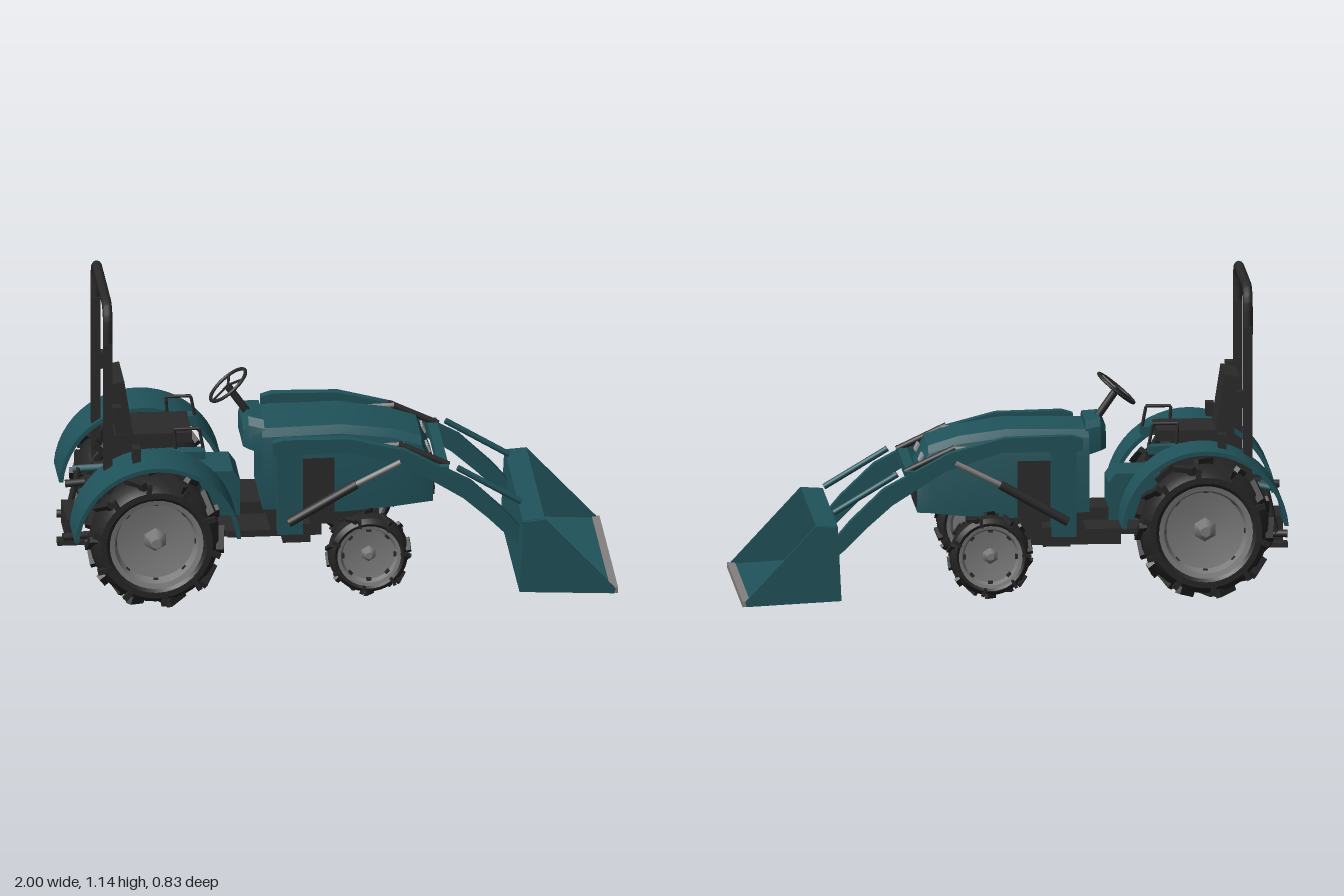
import * as THREE from 'three';
import { toCreasedNormals } from 'three/addons/utils/BufferGeometryUtils.js';

export function createModel() {
  const root = new THREE.Group();
  root.name = 'tractor';
  const material = (name, color) => {
    const m = new THREE.MeshStandardMaterial({ color });
    m.name = name;
    return m;
  };
  const teal = material('tealPaint', 0x20535b);
  const black = material('blackPlastic', 0x2a2a2a);
  const rubber = material('tyreRubber', 0x252525);
  const grey = material('rimGrey', 0x7c7c7c);
  const steel = material('steel', 0x858080);
  const lamp = material('lampGlass', 0x9c9c9c);

  const V = (x, y, z) => new THREE.Vector3(x, y, z);
  const add = (name, geo, mat, parent = root) => {
    const m = new THREE.Mesh(geo, mat);
    m.name = name;
    parent.add(m);
    return m;
  };
  // Box given by its limits
  const box = (name, mat, x0, x1, y0, y1, z0, z1) => {
    const m = add(name, new THREE.BoxGeometry(x1 - x0, y1 - y0, Math.abs(z1 - z0)), mat);
    m.position.set((x0 + x1) / 2, (y0 + y1) / 2, (z0 + z1) / 2);
    return m;
  };
  // Round rod between two points
  const rod = (name, mat, a, b, r, sides = 10) => {
    const d = b.clone().sub(a);
    const m = add(name, new THREE.CylinderGeometry(r, r, d.length(), sides), mat);
    m.position.copy(a).addScaledVector(d, 0.5);
    m.quaternion.setFromUnitVectors(V(0, 1, 0), d.normalize());
  };
  // Side outline extruded between two z positions
  const plate = (name, mat, pts, z0, z1) => {
    const shape = new THREE.Shape(pts.map(p => new THREE.Vector2(...p)));
    const geo = new THREE.ExtrudeGeometry(shape, { depth: Math.abs(z1 - z0), bevelEnabled: false });
    geo.translate(0, 0, Math.min(z0, z1));
    add(name, toCreasedNormals(geo, 0.4), mat);
  };
  // Bent tube through straight pieces
  const tube = (name, mat, pts, r, n = 40) => {
    const path = new THREE.CurvePath();
    for (let i = 1; i < pts.length; i++) path.add(new THREE.LineCurve3(pts[i - 1], pts[i]));
    add(name, new THREE.TubeGeometry(path, n, r, 10), mat);
  };
  // Skin over closed rings, with both ends capped
  const loft = (rings) => {
    const pos = [];
    const tri = (...p) => p.forEach(v => pos.push(v.x, v.y, v.z));
    const n = rings[0].length;
    for (let i = 0; i + 1 < rings.length; i++)
      for (let j = 0; j < n; j++) {
        const k = (j + 1) % n, a = rings[i], b = rings[i + 1];
        tri(a[j], b[j], b[k]);
        tri(a[j], b[k], a[k]);
      }
    const first = rings[0], last = rings[rings.length - 1];
    for (let j = 1; j + 1 < n; j++) {
      tri(first[0], first[j], first[j + 1]);
      tri(last[0], last[j + 1], last[j]);
    }
    const g = new THREE.BufferGeometry();
    g.setAttribute('position', new THREE.Float32BufferAttribute(pos, 3));
    return toCreasedNormals(g, 0.4);
  };
  const lathe = (pts, sides) => {
    const g = new THREE.LatheGeometry(pts.map(p => new THREE.Vector2(...p)), sides);
    return toCreasedNormals(g.rotateX(Math.PI / 2), 0.5);
  };

  // Wheels: tyre, dished rim, notches, hub and angled lugs
  const wheel = (name, x, y, z, R, rim, w, lugs, notch, side) => {
    const g = new THREE.Group();
    g.name = name;
    g.position.set(x, y, z);
    if (side < 0) g.rotation.y = Math.PI;
    root.add(g);
    const h = w / 2;
    add('tyre', lathe([[rim, -h * 0.85], [rim * 1.1, -h], [R * 0.86, -h], [R * 0.96, -h * 0.65], [R, 0],
      [R * 0.96, h * 0.65], [R * 0.86, h], [rim * 1.1, h], [rim, h * 0.85], [rim, -h * 0.85]], 40), rubber, g);
    add('rim', lathe([[0, -h * 0.3], [rim * 0.8, -h * 0.3], [rim * 0.9, -h * 0.8], [rim * 1.03, -h * 0.9],
      [rim * 1.03, h * 0.9], [rim * 0.92, h * 0.85], [rim * 0.85, h * 0.45], [rim * 0.4, h * 0.3], [0, h * 0.3]], 36), grey, g);
    const hub = add('hub', new THREE.CylinderGeometry(rim * 0.12, rim * 0.28, h * 0.6, 6), grey, g);
    hub.rotation.x = Math.PI / 2;
    hub.position.z = h * 0.55;
    for (let i = 0; i < 8; i++) {
      const a = i * Math.PI / 4;
      const mark = add('rimNotch', new THREE.BoxGeometry(notch, 0.018, 0.012), black, g);
      mark.position.set(Math.cos(a) * rim * 0.87, Math.sin(a) * rim * 0.87, h * 0.55);
      mark.rotation.z = a;
    }
    for (let i = 0; i < lugs * 2; i++) {
      const s = i % 2 ? 1 : -1;
      const lug = new THREE.Group();
      lug.name = 'lug';
      lug.rotation.z = i * Math.PI / lugs;
      g.add(lug);
      const tread = add('treadLug', new THREE.BoxGeometry(R * 0.09, R * 0.12, h * 1.15), rubber, lug);
      tread.position.set(0, R * 0.99, s * h * 0.48);
      tread.rotation.set(s * 0.12, s * 0.6, 0);
      const shoulder = add('shoulderLug', new THREE.BoxGeometry(R * 0.08, R * 0.22, h * 0.24), rubber, lug);
      shoulder.position.set(R * 0.16, R * 0.87, s * h * 0.96);
      shoulder.rotation.z = -0.4;
    }
  };

  // Hood, tapering to the nose
  const hoodRing = ([x, yb, ys, yt, wb, wt]) => [[wb, yb], [wb, ys], [wt, yt - 0.025], [wt - 0.03, yt],
    [0.03 - wt, yt], [-wt, yt - 0.025], [-wb, ys], [-wb, yb]].map(([z, y]) => V(x, y, z));
  add('hood', loft([[-0.27, 0.3, 0.5, 0.595, 0.168, 0.152], [0.02, 0.28, 0.5, 0.6, 0.165, 0.15],
    [0.2, 0.29, 0.48, 0.575, 0.157, 0.143], [0.31, 0.3, 0.46, 0.54, 0.149, 0.137],
    [0.35, 0.3, 0.41, 0.455, 0.138, 0.133]].map(hoodRing)), teal);
  box('grille', black, 0.34, 0.356, 0.32, 0.435, -0.125, 0.125);
  for (let i = 0; i < 4; i++) box('grilleBar', rubber, 0.355, 0.36, 0.335 + i * 0.027, 0.345 + i * 0.027, -0.11, 0.11);

  // Dash, floor tunnel and steering
  add('dash', loft([[-0.335, 0.52, 0.56, 0.6, 0.1, 0.1], [-0.315, 0.515, 0.57, 0.628, 0.12, 0.11],
    [-0.26, 0.5, 0.57, 0.62, 0.135, 0.13]].map(hoodRing)), teal);
  plate('floorTunnel', teal, [[-0.53, 0.22], [-0.345, 0.22], [-0.345, 0.39], [-0.37, 0.425], [-0.53, 0.425]], -0.1, 0.1);
  rod('steeringColumn', black, V(-0.3, 0.6, 0), V(-0.38, 0.715, 0), 0.014);
  const steering = new THREE.Group();
  steering.name = 'steeringWheel';
  steering.position.set(-0.38, 0.72, 0);
  steering.quaternion.setFromUnitVectors(V(0, 0, 1), V(-0.64, 0.77, 0).normalize());
  root.add(steering);
  add('steeringRim', new THREE.TorusGeometry(0.082, 0.0065, 8, 28), black, steering);
  for (let i = 0; i < 3; i++) {
    const spoke = add('steeringSpoke', new THREE.BoxGeometry(0.08, 0.008, 0.006), black, steering);
    const a = i * Math.PI * 2 / 3;
    spoke.position.set(Math.cos(a) * 0.04, Math.sin(a) * 0.04, 0);
    spoke.rotation.z = a;
  }

  // Seat
  plate('seatBack', black, [[-0.79, 0.56], [-0.73, 0.56], [-0.765, 0.785], [-0.82, 0.775]], -0.105, 0.105);
  box('seatCushion', black, -0.8, -0.52, 0.545, 0.583, -0.11, 0.11);
  box('seatBase', black, -0.8, -0.58, 0.42, 0.545, -0.08, 0.08);

  // Chassis and axles
  box('transmission', black, -0.8, -0.39, 0.2, 0.42, -0.085, 0.085);
  box('chassis', black, -0.39, -0.05, 0.165, 0.3, -0.09, 0.09);
  box('floorboard', black, -0.5, -0.25, 0.235, 0.255, -0.26, 0.26);
  box('engineSump', black, -0.06, 0.16, 0.2, 0.3, -0.07, 0.07);
  box('frontAxle', black, 0.06, 0.14, 0.145, 0.21, -0.25, 0.25);
  rod('rearAxle', black, V(-0.675, 0.262, -0.28), V(-0.675, 0.262, 0.28), 0.065, 12);

  // Roll bar hoop
  const hoop = [V(-0.838, 0.96, 0.243), V(-0.838, 1.05, 0.243)];
  for (let i = 1; i <= 6; i++) {
    const a = i * Math.PI / 12;
    hoop.push(V(-0.838, 1.05 + Math.sin(a) * 0.077, 0.18 + Math.cos(a) * 0.063));
  }
  hoop.push(...hoop.slice().reverse().map(p => V(p.x, p.y, -p.z)));
  tube('rollBarHoop', black, hoop, 0.018, 90);

  // Rear hitch
  box('hitchBlock', black, -0.975, -0.93, 0.17, 0.26, -0.1, 0.1);
  box('drawbar', black, -1, -0.7, 0.13, 0.147, -0.025, 0.025);
  box('hitchMount', black, -0.9, -0.8, 0.2, 0.38, -0.03, 0.03);
  rod('topLink', black, V(-0.84, 0.37, 0), V(-0.97, 0.36, 0), 0.014);

  // Paired parts
  const arc = (r, from, to) => Array.from({ length: 25 }, (_, i) => {
    const a = from + (to - from) * i / 24;
    return [-0.672 + Math.cos(a) * r, 0.262 + Math.sin(a) * r];
  });
  for (const s of [1, -1]) {
    wheel('rearWheel', -0.675, 0.262, s * 0.31, 0.236, 0.165, 0.185, 10, 0.006, s);
    wheel('frontWheel', 0.1, 0.172, s * 0.298, 0.147, 0.112, 0.1, 7, 0.016, s);

    // Fenders and grab handles
    plate('fender', teal, [...arc(0.302, 0.07, 3.06), ...arc(0.287, 3.06, 0.07)], s * 0.205, s * 0.414);
    box('fenderBracket', teal, -0.65, -0.48, 0.515, 0.545, s * 0.155, s * 0.207);
    tube('grabHandle', black, [V(-0.585, 0.54, s * 0.165), V(-0.59, 0.62, s * 0.165),
      V(-0.5, 0.62, s * 0.165), V(-0.485, 0.54, s * 0.165)], 0.006);

    // Roll bar posts and lamps
    box('rollBarPost', black, -0.854, -0.822, 0.3, 0.99, s * 0.222, s * 0.262);
    box('rollBarFoot', black, -0.854, -0.78, 0.3, 0.36, s * 0.08, s * 0.25);
    box('postLamp', black, -0.825, -0.795, 0.7, 0.76, s * 0.258, s * 0.302);
    box('fenderLamp', black, -0.755, -0.725, 0.55, 0.607, s * 0.275, s * 0.325);

    // Hitch arms
    rod('lowerLink', black, V(-0.75, 0.2, s * 0.08), V(-0.99, 0.2, s * 0.12), 0.014);
    rod('hitchLink', black, V(-0.91, 0.38, s * 0.11), V(-0.95, 0.2, s * 0.115), 0.012);
    rod('hitchArm', teal, V(-0.8, 0.39, s * 0.08), V(-0.93, 0.37, s * 0.12), 0.014);

    // Hood side panel and headlight
    box('sidePanel', black, -0.13, -0.01, 0.285, 0.49, s * 0.164, s * 0.171);
    const light = box('headlight', lamp, 0.331, 0.339, 0.483, 0.511, s * 0.07, s * 0.128);
    light.rotation.z = 0.44;

    // Front lift post and arm
    box('liftPost', teal, -0.22, -0.13, 0.22, 0.56, s * 0.17, s * 0.225);
    box('liftMount', black, -0.2, -0.1, 0.18, 0.25, s * 0.08, s * 0.2);
    plate('liftArm', teal, [[-0.24, 0.54], [-0.24, 0.585], [-0.2, 0.597], [0.04, 0.592], [0.24, 0.54], [0.48, 0.41],
      [0.6, 0.295], [0.655, 0.23], [0.65, 0.165], [0.62, 0.19], [0.54, 0.27], [0.45, 0.35], [0.26, 0.47], [0.05, 0.54]],
    s * 0.222, s * 0.256);

    // Lift cylinder, bucket cylinder and link
    rod('liftCylinder', black, V(-0.185, 0.285, s * 0.272), V(0.06, 0.425, s * 0.272), 0.017);
    rod('liftRod', steel, V(0.06, 0.425, s * 0.272), V(0.22, 0.505, s * 0.272), 0.01);
    rod('bucketRod', steel, V(-0.13, 0.535, s * 0.2), V(0.24, 0.545, s * 0.2), 0.009);
    rod('bucketCylinder', black, V(0.22, 0.55, s * 0.21), V(0.4, 0.465, s * 0.21), 0.012);
    rod('bucketLink', teal, V(0.43, 0.463, s * 0.24), V(0.66, 0.325, s * 0.24), 0.011);

    // Bucket sides and brackets
    plate('bucketSide', teal, [[0.655, 0.295], [0.735, 0.3], [0.99, 0.025], [0.985, 0.008], [0.642, 0.025]],
      s * 0.358, s * 0.37);
    plate('bucketBracket', teal, [[0.645, 0.15], [0.675, 0.147], [0.715, 0.29], [0.655, 0.29]],
      s * 0.23, s * 0.252);
  }

  // Cross tube, bucket shell and cutting edge
  box('crossTube', teal, 0.362, 0.398, 0.437, 0.472, -0.25, 0.25);
  plate('bucketShell', teal, [[0.655, 0.297], [0.735, 0.302], [0.735, 0.29], [0.667, 0.285], [0.655, 0.042],
    [0.985, 0.024], [0.985, 0.01], [0.642, 0.025]], -0.36, 0.36);
  box('cuttingEdge', steel, 0.972, 1, 0.007, 0.028, -0.366, 0.366);

  return root;
}
